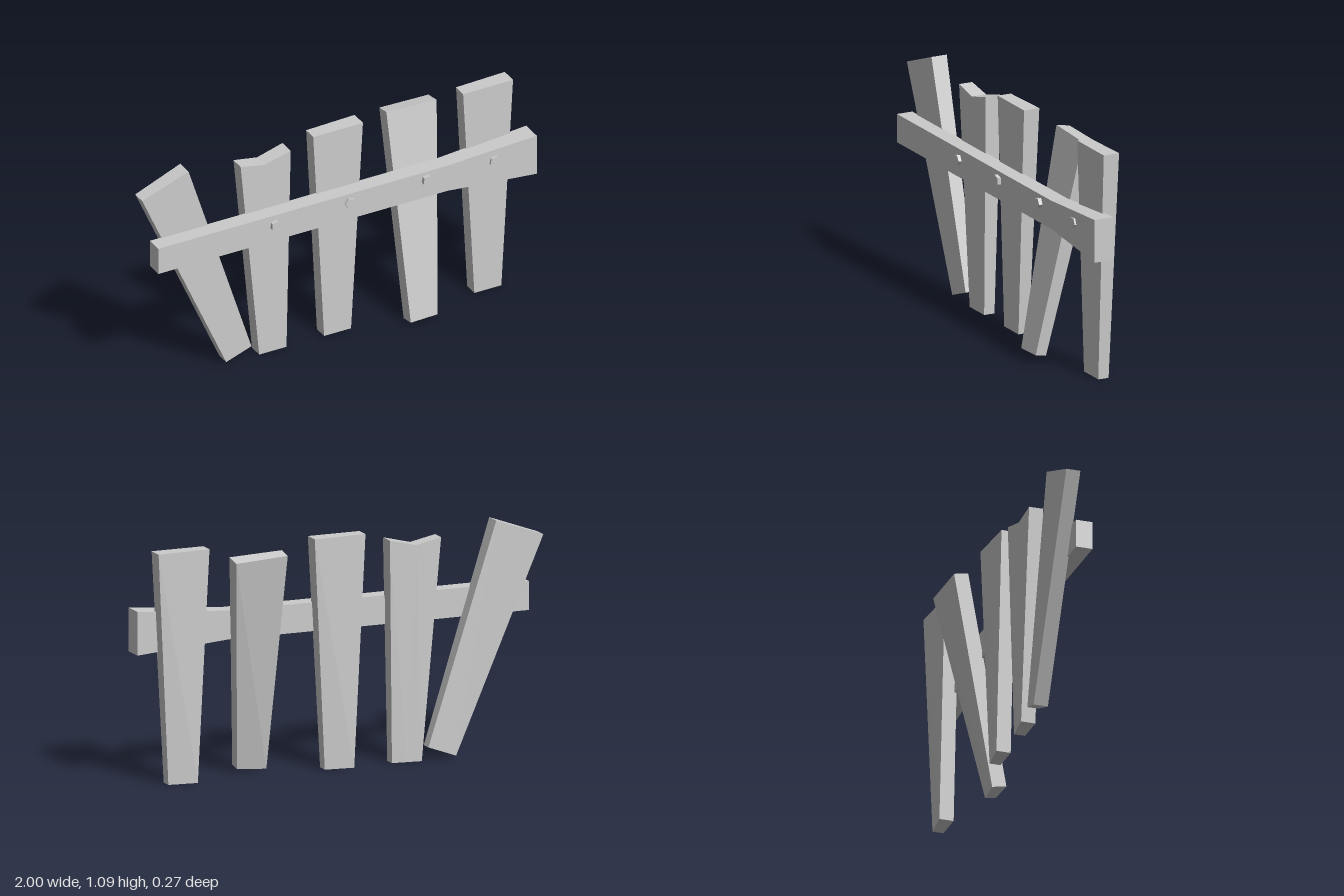
import * as THREE from 'three';

const material = new THREE.MeshStandardMaterial({ color: 0xcccccc, flatShading: true });

// Joins four-cornered rings (bottom front, top front, top back, bottom back) from -x to +x.
function loft(name, rings) {
  const positions = [];
  const tri = (...corners) => corners.forEach((c) => positions.push(...c));
  for (let i = 0; i < rings.length - 1; i++) {
    const a = rings[i], b = rings[i + 1];
    for (let k = 0; k < 4; k++) {
      const n = (k + 1) % 4;
      tri(a[k], b[k], a[n]);
      tri(a[n], b[k], b[n]);
    }
  }
  const s = rings[0], e = rings[rings.length - 1];
  tri(s[0], s[1], s[2]);
  tri(s[0], s[2], s[3]);
  tri(e[0], e[2], e[1]);
  tri(e[0], e[3], e[2]);
  const geometry = new THREE.BufferGeometry();
  geometry.setAttribute('position', new THREE.Float32BufferAttribute(positions, 3));
  geometry.computeVertexNormals();
  const mesh = new THREE.Mesh(geometry, material);
  mesh.name = name;
  return mesh;
}

// Plank from columns [topX, topY, bottomX, bottomY]; the back is slightly twisted.
// tilt leans the plank about x so that its top goes back.
function plank(name, columns, tilt = 0) {
  const place = (x, y, z) => [x, y + tilt * z, z + tilt * (0.63 - y)];
  return loft(name, columns.map(([tx, ty, bx, by], i) => {
    const t = i / (columns.length - 1);
    return [
      place(bx, by, 0.01),
      place(tx, ty, 0.013),
      place(tx, ty, THREE.MathUtils.lerp(-0.055, -0.066, t)),
      place(bx, by, THREE.MathUtils.lerp(-0.059, -0.043, t)),
    ];
  }));
}

export function createModel() {
  const group = new THREE.Group();
  group.name = 'brokenFence';

  // Upright planks
  group.add(
    plank('fallenPlank', [[-1, 1.005, -0.563, 0.01], [-0.76, 1.093, -0.432, 0.057]]),
    plank('notchedPlank', [[-0.49, 1.038, -0.392, 0], [-0.365, 1.013, -0.32, 0], [-0.23, 1.047, -0.25, 0]]),
    plank('middlePlank', [[-0.113, 1.087, -0.055, 0], [0.145, 1.087, 0.085, 0]]),
    plank('tiltedPlank', [[0.31, 1.05, 0.332, 0.018], [0.57, 1.04, 0.472, 0.022]], 0.19),
    plank('endPlank', [[0.665, 1.087, 0.725, 0], [0.924, 1.087, 0.865, 0]]),
  );

  // Rail, flaring at one end: x, bottom, top, back z, front z
  const sections = [
    [-0.957, 0.642, 0.777, 0.007, 0.087],
    [0.545, 0.642, 0.777, 0.003, 0.084],
    [1, 0.608, 0.812, 0, 0.1],
  ];
  group.add(loft('rail', sections.map(([x, y0, y1, z0, z1]) =>
    [[x, y0, z1], [x, y1, z1], [x, y1, z0], [x, y0, z0]])));

  // Five-sided bolt heads: x, y, turn
  const boltGeometry = new THREE.CylinderGeometry(0.026, 0.026, 0.04, 5).rotateX(Math.PI / 2);
  const bolts = [[-0.352, 0.727, 1.5], [0.033, 0.735, -1.57], [0.435, 0.738, 0.2], [0.783, 0.74, 1.4]];
  bolts.forEach(([x, y, turn], i) => {
    const bolt = new THREE.Mesh(boltGeometry, material);
    bolt.name = `bolt${i + 1}`;
    bolt.position.set(x, y, 0.082);
    bolt.rotation.z = turn;
    group.add(bolt);
  });

  return group;
}
